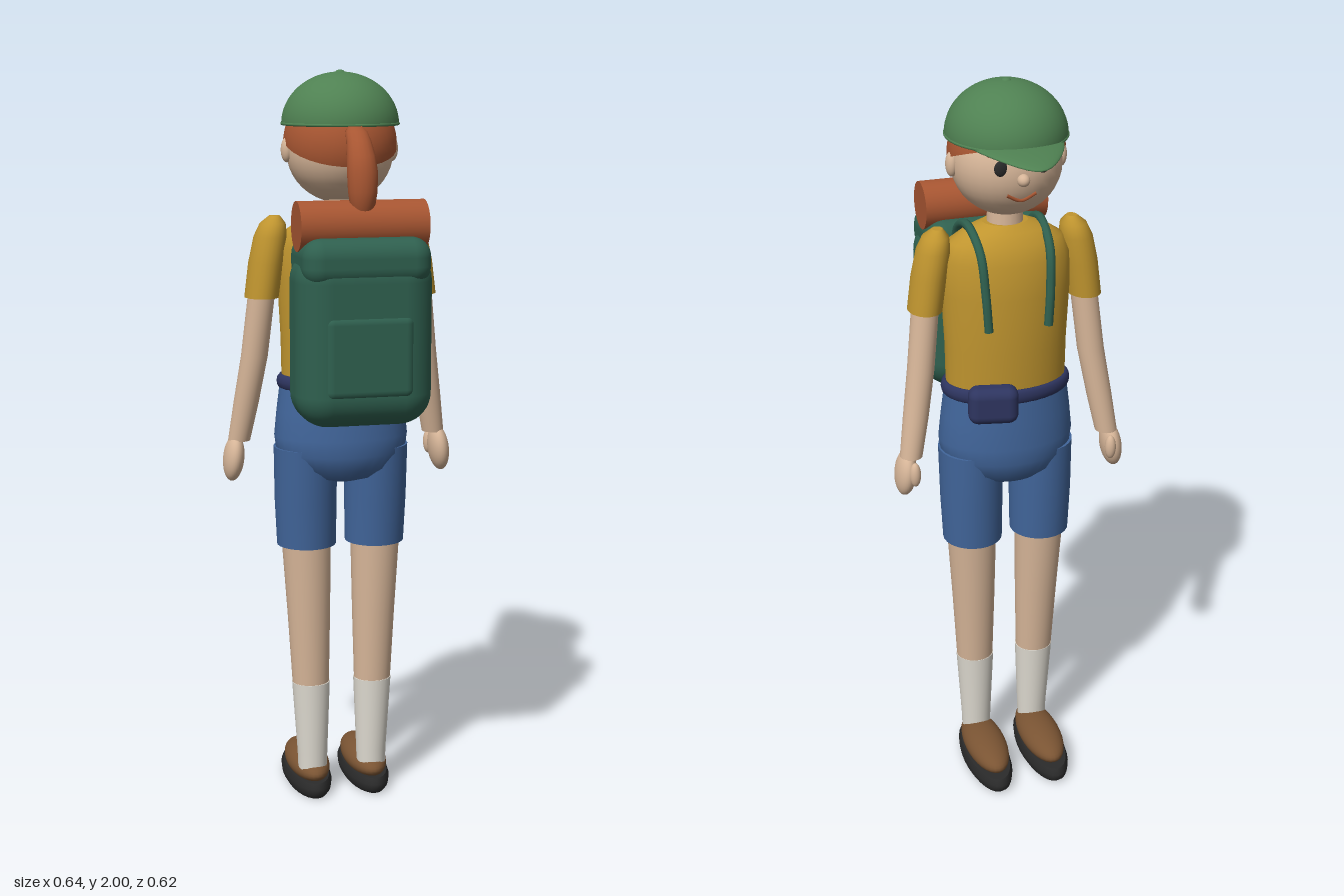
import * as THREE from 'three';
import { RoundedBoxGeometry } from 'three/addons/geometries/RoundedBoxGeometry.js';

const paint = (name, color, side = THREE.FrontSide) => {
  const m = new THREE.MeshStandardMaterial({ color, side });
  m.name = name;
  return m;
};

// Closed body through horizontal ellipses [x, y, z, rx, rz], listed bottom to top, flat crisp ends.
function loft(rings, sides = 24) {
  const first = rings[0], last = rings[rings.length - 1];
  const flat = r => [r[0], r[1], r[2], 0, 0];
  const all = [flat(first), first, ...rings, last, flat(last)];
  const pos = [], idx = [];
  all.forEach(([x, y, z, rx, rz], i) => {
    for (let j = 0; j < sides; j++) {
      const a = (j / sides) * Math.PI * 2;
      pos.push(x + rx * Math.cos(a), y, z + rz * Math.sin(a));
      if (i === all.length - 1) continue;
      const p = i * sides + j, q = i * sides + (j + 1) % sides;
      idx.push(p, p + sides, q, q, p + sides, q + sides);
    }
  });
  const g = new THREE.BufferGeometry();
  g.setAttribute('position', new THREE.Float32BufferAttribute(pos, 3));
  g.setIndex(idx);
  g.computeVertexNormals();
  return g;
}

const ellipsoid = (rx, ry, rz) => new THREE.SphereGeometry(1, 32, 20).scale(rx, ry, rz);
const tube = (pts, r) => new THREE.TubeGeometry(
  new THREE.CatmullRomCurve3(pts.map(p => new THREE.Vector3(...p))), 24, r, 8);

export function createModel() {
  const green = paint('cap green', 0x4f8152, THREE.DoubleSide);
  const skin = paint('skin', 0xd6b598);
  const rust = paint('rust red', 0xa85632, THREE.DoubleSide);
  const mustard = paint('mustard', 0xc0952f);
  const denim = paint('denim blue', 0x41659a);
  const pine = paint('pine green', 0x2f604f);
  const navy = paint('navy', 0x2e3560);
  const brown = paint('shoe brown', 0x7a5433);
  const black = paint('black', 0x2b2b2b);
  const cream = paint('sock cream', 0xdedad0);

  const model = new THREE.Group();
  model.name = 'hiker';
  const add = (name, geo, mat, x = 0, y = 0, z = 0) => {
    const m = new THREE.Mesh(geo, mat);
    m.name = name;
    m.position.set(x, y, z);
    model.add(m);
    return m;
  };

  // Head; the face looks towards -z
  const hc = [0, 1.79, -0.03], hr = [0.142, 0.135, 0.14];
  const onFace = (x, y) => [x, y, hc[2] - hr[2] *
    Math.sqrt(1 - (x / hr[0]) ** 2 - ((y - hc[1]) / hr[1]) ** 2)];
  add('head', ellipsoid(...hr), skin, ...hc);
  add('neck', new THREE.CylinderGeometry(0.043, 0.05, 0.12, 20), skin, 0, 1.64, -0.018);
  add('nose', ellipsoid(0.016, 0.016, 0.018), skin, 0, 1.782, -0.172);
  add('mouth', tube([onFace(-0.038, 1.742), onFace(0, 1.725), onFace(0.038, 1.742)], 0.005), rust);

  // Hair, cut on a plane that drops towards the nape
  const hair = add('hair',
    new THREE.SphereGeometry(1, 32, 12, 0, Math.PI * 2, 0, Math.PI / 2).scale(0.15, 0.145, 0.16),
    rust, 0, 1.812, -0.03);
  hair.rotation.x = 0.36;
  add('ponytail', loft([
    [0, 1.63, 0.212, 0.016, 0.016], [0, 1.655, 0.215, 0.031, 0.031],
    [0, 1.7, 0.217, 0.038, 0.036], [0, 1.75, 0.213, 0.04, 0.036],
    [0, 1.79, 0.2, 0.037, 0.036], [0, 1.825, 0.174, 0.032, 0.036],
    [0, 1.848, 0.148, 0.028, 0.034], [0, 1.86, 0.135, 0.018, 0.02]], 16), rust);

  // Cap
  add('capDome',
    new THREE.SphereGeometry(1, 40, 16, 0, Math.PI * 2, 0, Math.PI / 2).scale(0.155, 0.135, 0.166),
    green, 0, 1.861, -0.029);
  add('capRim', new THREE.TorusGeometry(1, 0.028, 8, 40).rotateX(Math.PI / 2)
    .scale(0.153, 0.15, 0.163), green, 0, 1.862, -0.029);
  add('capButton', ellipsoid(0.013, 0.008, 0.013), green, 0, 1.993, -0.029);
  const brim = ellipsoid(1, 1, 1);
  const bp = brim.attributes.position;
  for (let i = 0; i < bp.count; i++) {
    const t = Math.max(0, -bp.getZ(i));
    bp.setXYZ(i, bp.getX(i) * 0.118 * (1 - 0.38 * t),
      bp.getY(i) * 0.013 - 0.01 * t * t, bp.getZ(i) * (t > 0 ? 0.182 : 0.1));
  }
  brim.computeVertexNormals();
  add('capBrim', brim, green, 0, 1.859, -0.13);

  // Shirt body, pelvis and belt
  add('shirt', loft([
    [0, 1.165, -0.023, 0.162, 0.108], [0, 1.3, -0.024, 0.164, 0.112],
    [0, 1.45, -0.024, 0.172, 0.113], [0, 1.54, -0.022, 0.172, 0.104],
    [0, 1.585, -0.02, 0.152, 0.088], [0, 1.612, -0.019, 0.11, 0.068],
    [0, 1.63, -0.018, 0.06, 0.05]], 32), mustard);
  add('shortsSeat', loft([
    [0, 0.905, -0.02, 0.05, 0.05], [0, 0.918, -0.02, 0.105, 0.09],
    [0, 0.945, -0.02, 0.152, 0.115], [0, 0.985, -0.02, 0.178, 0.128],
    [0, 1.03, -0.021, 0.184, 0.128], [0, 1.1, -0.022, 0.177, 0.12],
    [0, 1.185, -0.023, 0.166, 0.112]], 32), denim);
  add('belt', new THREE.TorusGeometry(1, 0.08, 10, 40).rotateX(Math.PI / 2)
    .scale(0.163, 0.25, 0.111), navy, 0, 1.18, -0.023);
  add('beltPouch', new RoundedBoxGeometry(0.13, 0.1, 0.065, 4, 0.026), navy, 0.078, 1.185, -0.168)
    .rotation.y = -0.2;

  // Backpack with lid, pocket and rolled mat
  add('packBody', new RoundedBoxGeometry(0.36, 0.46, 0.215, 5, 0.085), pine, 0, 1.33, 0.198);
  add('packLid', new RoundedBoxGeometry(0.335, 0.124, 0.222, 5, 0.05), pine, 0, 1.526, 0.197);
  add('packPocket', new RoundedBoxGeometry(0.236, 0.218, 0.05, 4, 0.024), pine, 0, 1.288, 0.286);
  add('matRoll', new THREE.CylinderGeometry(0.064, 0.064, 0.335, 28).rotateZ(Math.PI / 2),
    rust, 0, 1.614, 0.194);

  for (const s of [-1, 1]) {
    const side = s > 0 ? 'left' : 'right';
    const mirror = rings => rings.map(([x, ...r]) => [s * x, ...r]);

    // Face details
    add(side + 'Ear', ellipsoid(0.016, 0.033, 0.02), skin, s * 0.143, 1.795, -0.032);
    add(side + 'Eye', ellipsoid(0.017, 0.02, 0.008), black, ...onFace(s * 0.054, 1.812));
    add(side + 'Brow', tube(mirror([onFace(0.03, 1.84), onFace(0.055, 1.848),
      onFace(0.08, 1.84)]), 0.005), rust);

    // Shoulder strap
    add(side + 'Strap', tube(mirror([[0.1, 1.47, 0.11], [0.1, 1.58, 0.08], [0.098, 1.622, -0.01],
      [0.092, 1.575, -0.108], [0.086, 1.47, -0.135], [0.08, 1.376, -0.14]]), 0.012), pine);

    // Sleeve, arm and hand
    add(side + 'Sleeve', loft(mirror([
      [0.217, 1.41, -0.02, 0.045, 0.059], [0.205, 1.5, -0.02, 0.046, 0.056],
      [0.192, 1.57, -0.02, 0.044, 0.052], [0.185, 1.605, -0.02, 0.034, 0.041],
      [0.18, 1.625, -0.02, 0.014, 0.016]])), mustard);
    add(side + 'Arm', loft(mirror([
      [0.274, 1.015, -0.065, 0.03, 0.032], [0.256, 1.12, -0.052, 0.034, 0.035],
      [0.235, 1.25, -0.035, 0.036, 0.037], [0.213, 1.45, -0.02, 0.036, 0.037]])), skin);
    const hand = add(side + 'Hand', ellipsoid(0.028, 0.064, 0.048), skin, s * 0.29, 0.967, -0.062);
    hand.rotation.z = s * 0.12;
    add(side + 'Thumb', ellipsoid(0.015, 0.034, 0.016), skin, s * 0.274, 0.977, -0.105);

    // Shorts leg, bare leg, sock and shoe
    add(side + 'ShortsLeg', loft(mirror([
      [0.096, 0.724, -0.027, 0.081, 0.082], [0.098, 0.85, -0.026, 0.085, 0.087],
      [0.099, 1.0, -0.022, 0.086, 0.098]])), denim);
    add(side + 'Leg', loft(mirror([
      [0.088, 0.3, -0.013, 0.05, 0.047], [0.092, 0.52, -0.018, 0.059, 0.056],
      [0.098, 0.76, -0.024, 0.069, 0.066]])), skin);
    add(side + 'Sock', loft(mirror([
      [0.085, 0.06, -0.01, 0.04, 0.04], [0.085, 0.12, -0.01, 0.042, 0.041],
      [0.088, 0.328, -0.013, 0.053, 0.05]])), cream);
    add(side + 'ShoeUpper', ellipsoid(0.058, 0.042, 0.143), brown, s * 0.083, 0.064, -0.093);
    add(side + 'ShoeSole', loft([
      [0, 0, 0, 0.055, 0.15], [0, 0.012, 0, 0.062, 0.163],
      [0, 0.03, 0, 0.064, 0.166], [0, 0.046, 0, 0.058, 0.155]], 28), black, s * 0.084, 0, -0.099);
  }
  return model;
}
